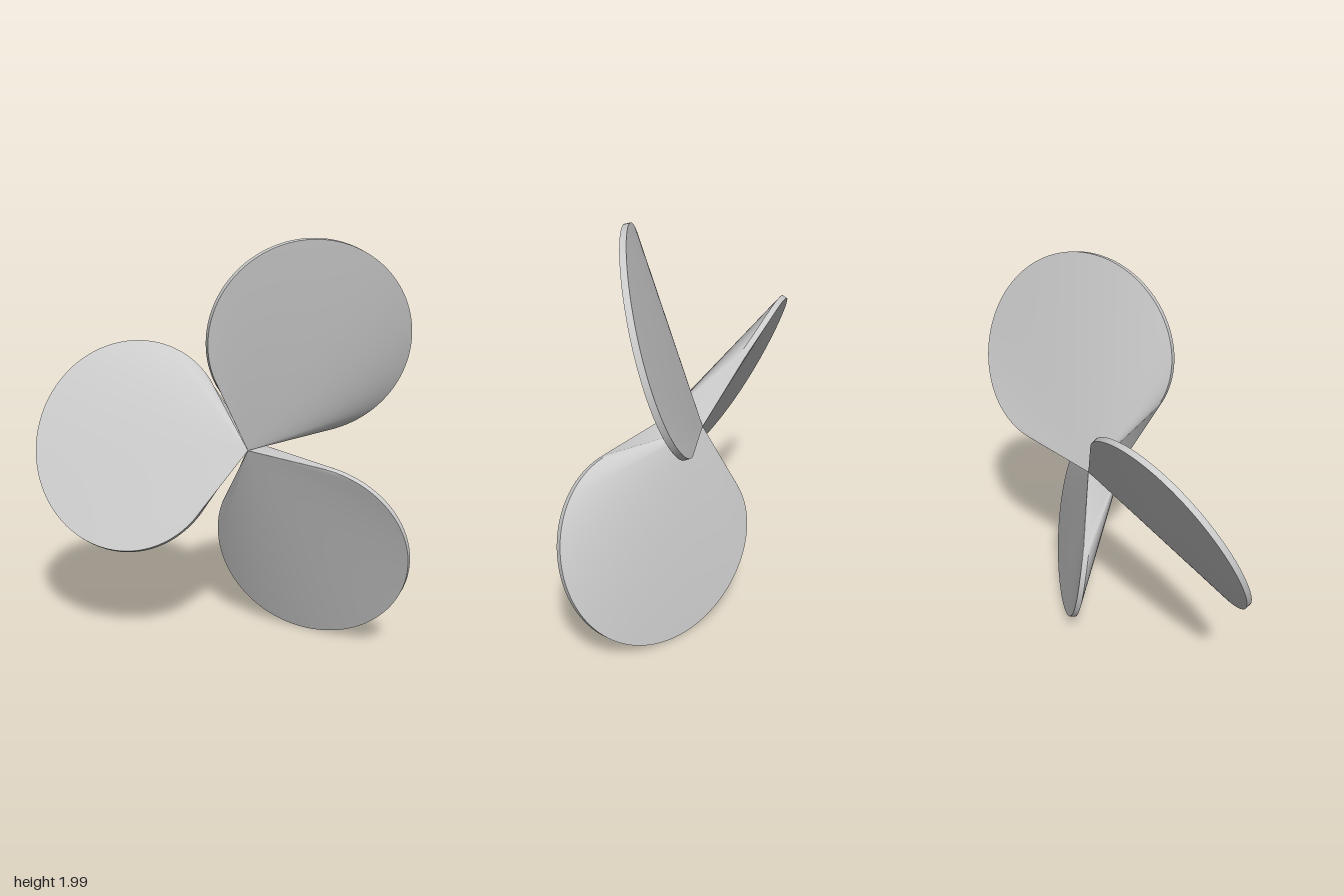
import * as THREE from 'three';
import { toCreasedNormals } from 'three/addons/utils/BufferGeometryUtils.js';

const HUB_X = 0.14, ROOT_HALF = 0.105;          // root is a short edge on the hub axis
const CENTER = 0.595, RADIUS = 0.475;           // round blade face, measured from the hub
const HALF_THICK = 0.014, SEGMENTS = 96;

// Blade along +x: a thin twisted disc whose two faces taper to the root edge
function bladeGeometry() {
  const frontRoot = new THREE.Vector3(0, 0, ROOT_HALF);
  const backRoot = new THREE.Vector3(0, 0, -ROOT_HALF);
  const limit = Math.PI - Math.acos(RADIUS / CENTER); // where the straight sides meet the rim

  const rim = (side) => Array.from({ length: SEGMENTS + 1 }, (_, i) => {
    const a = -limit + (2 * limit * i) / SEGMENTS;
    const r = CENTER + RADIUS * Math.cos(a), t = RADIUS * Math.sin(a);
    const slope = 0.49 * Math.pow(r, -0.25);    // pitch grows towards the hub
    const pitch = Math.atan(slope);
    return new THREE.Vector3(
      r,
      t - side * HALF_THICK * Math.sin(pitch),
      t * slope + side * HALF_THICK * Math.cos(pitch));
  });
  const front = rim(1), back = rim(-1);

  const points = [];
  const tri = (a, b, c) => points.push(a, b, c);
  const quad = (a, b, c, d) => { tri(a, b, c); tri(a, c, d); };

  for (let i = 0; i < SEGMENTS; i++) {
    tri(frontRoot, front[i], front[i + 1]);                // front face
    tri(backRoot, back[i + 1], back[i]);                   // back face
    quad(front[i], back[i], back[i + 1], front[i + 1]);    // rim
  }
  // straight sides running to the root
  quad(frontRoot, backRoot, back[0], front[0]);
  quad(backRoot, frontRoot, front[SEGMENTS], back[SEGMENTS]);

  const geometry = new THREE.BufferGeometry().setFromPoints(points);
  return toCreasedNormals(geometry, 0.5);
}

export function createModel() {
  const model = new THREE.Group();
  model.name = 'propeller';
  const material = new THREE.MeshStandardMaterial({ color: 0xcccccc });
  const geometry = bladeGeometry();

  // three equal blades around the hub axis
  ['upperBlade', 'sideBlade', 'lowerBlade'].forEach((name, i) => {
    const blade = new THREE.Mesh(geometry, material);
    blade.name = name;
    blade.position.set(HUB_X, 1, 0);
    blade.rotation.z = Math.PI / 3 + (i * 2 * Math.PI) / 3;
    model.add(blade);
  });
  return model;
}
